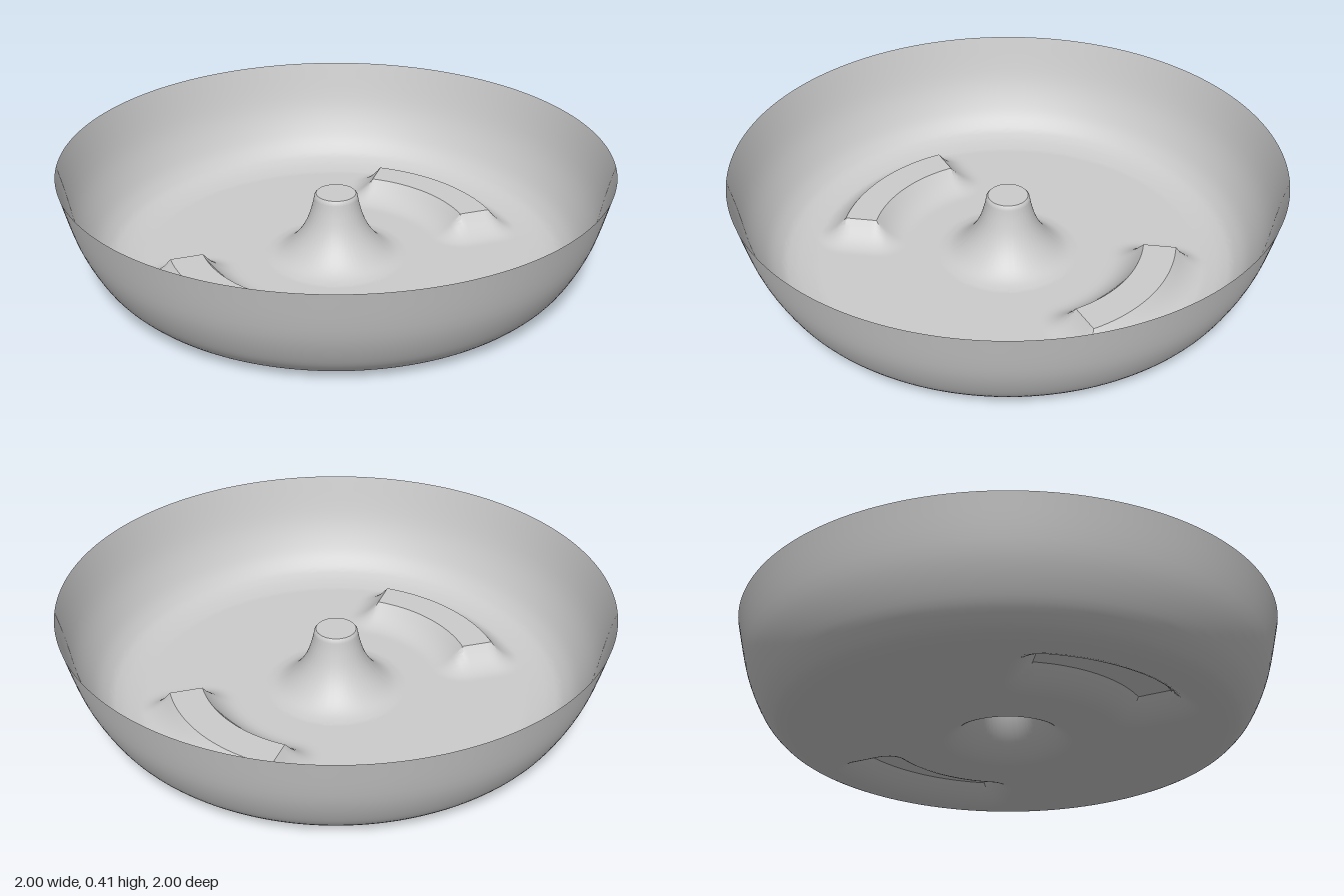
import * as THREE from 'three';
import { mergeVertices, toCreasedNormals } from 'three/addons/utils/BufferGeometryUtils.js';

const v = (x, y) => new THREE.Vector2(x, y);
const spline = (pairs, n) => new THREE.SplineCurve(pairs.map(p => v(...p))).getPoints(n);

// Raised arc pads, repeated every half turn, with a concave foot blending into the floor
const PAD = { inner: 0.51, outer: 0.63, from: 22.5, to: 76.5, height: 0.08, foot: 0.12 };

function padHeight(x, z) {
  const r = Math.hypot(x, z);
  const angle = (THREE.MathUtils.radToDeg(Math.atan2(-z, x)) + 360) % 180;
  const dr = Math.max(PAD.inner - r, r - PAD.outer, 0);
  const da = Math.max(PAD.from - angle, angle - PAD.to, 0);
  const d = Math.hypot(dr, r * THREE.MathUtils.degToRad(da));
  const t = Math.max(0, 1 - d / PAD.foot);
  return PAD.height * t * t;
}

export function createModel() {
  const group = new THREE.Group();

  // Profile: flat-topped centre post flaring into the floor
  const profile = [v(0, 0.25), v(0.074, 0.25),
    ...spline([[0.08, 0.243], [0.09, 0.195], [0.11, 0.135], [0.14, 0.082],
      [0.18, 0.037], [0.22, 0.01], [0.26, 0]], 20)];
  // Flat floor
  for (let r = 0.27; r < 0.72; r += 0.02) profile.push(v(r, 0));
  // Rounded corner and flaring side wall
  profile.push(...spline([[0.73, 0], [0.77, 0.007], [0.81, 0.019], [0.85, 0.043],
    [0.9, 0.105], [0.955, 0.227], [1, 0.407]], 30));

  let sheet = new THREE.LatheGeometry(profile, 240);
  const pos = sheet.attributes.position;
  for (let i = 0; i < pos.count; i++) {
    pos.setY(i, pos.getY(i) + padHeight(pos.getX(i), pos.getZ(i)));
  }
  sheet.deleteAttribute('normal');
  sheet.deleteAttribute('uv');
  sheet = toCreasedNormals(mergeVertices(sheet, 1e-5), 0.65);

  const pan = new THREE.Mesh(sheet, new THREE.MeshStandardMaterial({
    color: 0xcccccc, side: THREE.DoubleSide }));
  pan.name = 'pan';
  group.add(pan);
  return group;
}
